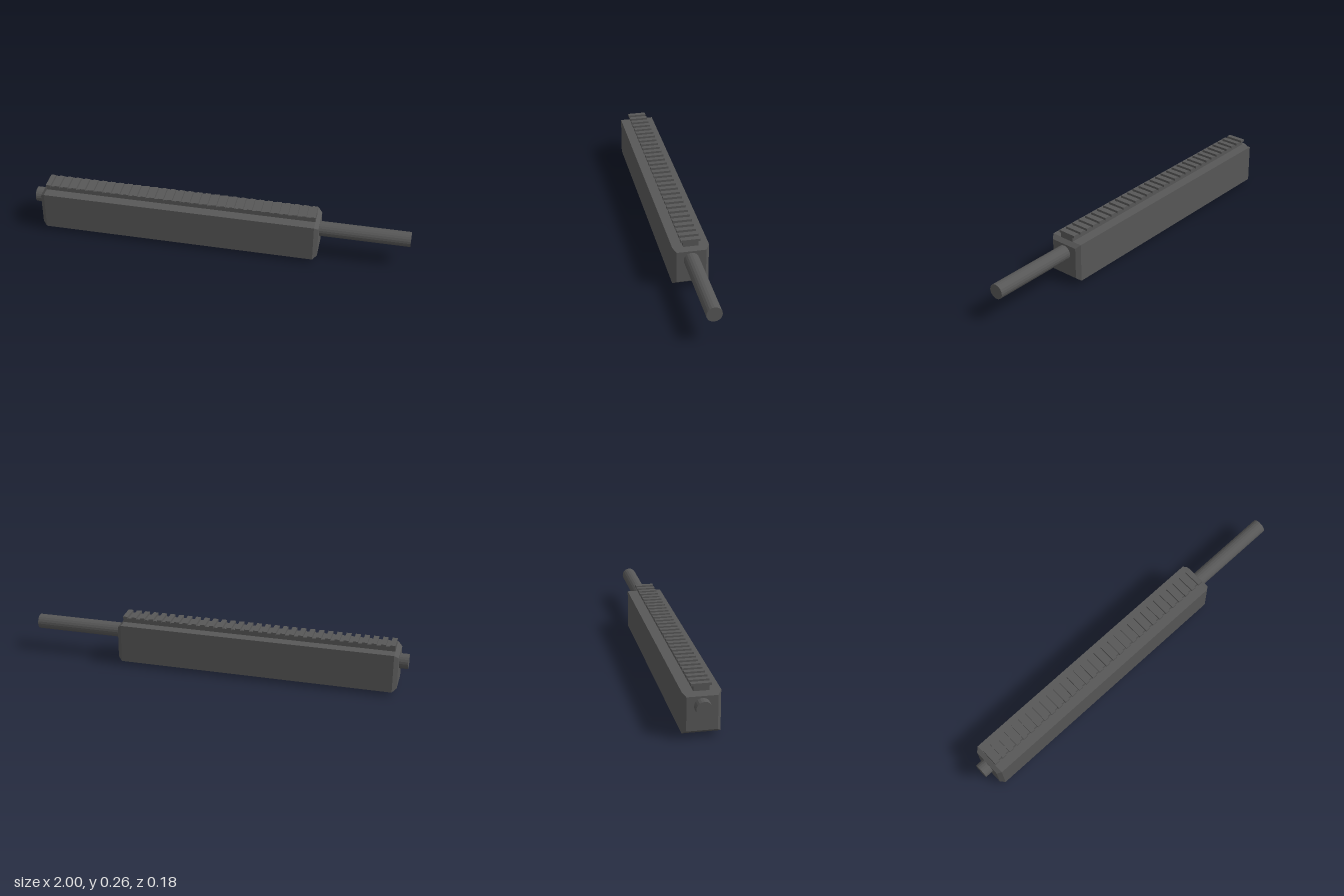
import * as THREE from 'three';

const gunmetal = new THREE.MeshStandardMaterial({ color: 0x575757 });
gunmetal.name = 'dark grey metal';

function add(parent, name, geometry, x, y, z) {
  const mesh = new THREE.Mesh(geometry, gunmetal);
  mesh.name = name;
  mesh.position.set(x, y, z);
  parent.add(mesh);
  return mesh;
}

// Box spanning x0..x1 and y0..y1, centred on z
function slab(parent, name, x0, x1, y0, y1, depth) {
  const geometry = new THREE.BoxGeometry(x1 - x0, y1 - y0, depth);
  return add(parent, name, geometry, (x0 + x1) / 2, (y0 + y1) / 2, 0);
}

// Long box whose end faces are bevelled on all four edges
function bevelledBody(length, height, depth, bevel) {
  let geometry = new THREE.BoxGeometry(length, height, depth, 3, 1, 1);
  const p = geometry.attributes.position;
  const half = length / 2;
  for (let i = 0; i < p.count; i++) {
    const x = p.getX(i);
    if (Math.abs(x) > half - 0.001) {
      p.setY(i, p.getY(i) * (1 - 2 * bevel / height));
      p.setZ(i, p.getZ(i) * (1 - 2 * bevel / depth));
    } else {
      p.setX(i, Math.sign(x) * (half - 0.022));
    }
  }
  geometry = geometry.toNonIndexed();
  geometry.computeVertexNormals();
  return geometry;
}

// Toothed mounting rail: narrow spine with evenly spaced wide cross bars
function rail(name, x0, x1, count, spineY, toothY) {
  const group = new THREE.Group();
  group.name = name;
  slab(group, 'railSpine', x0, x1, spineY[0], spineY[1], 0.076);
  const width = 0.026;
  const pitch = (x1 - x0 - width) / (count - 1);
  for (let i = 0; i < count; i++) {
    const x = x0 + i * pitch;
    slab(group, 'railTooth', x, x + width, toothY[0], toothY[1], 0.098);
  }
  return group;
}

export function createModel() {
  const model = new THREE.Group();
  model.name = 'railedBarrelHousing';

  // Housing
  add(model, 'housing', bevelledBody(1.484, 0.205, 0.184, 0.0175), -0.213, 0.1225, 0);

  // Barrel running right through the housing
  const tube = new THREE.CylinderGeometry(0.039, 0.039, 2, 20).toNonIndexed();
  tube.rotateZ(-Math.PI / 2);
  tube.computeVertexNormals();
  add(model, 'barrel', tube, 0, 0.16, 0);

  // Rails above and below
  model.add(rail('topRail', -0.932, 0.508, 31, [0.222, 0.249], [0.248, 0.261]));
  model.add(rail('bottomRail', -0.805, 0.477, 27, [0.014, 0.023], [0, 0.015]));

  return model;
}
